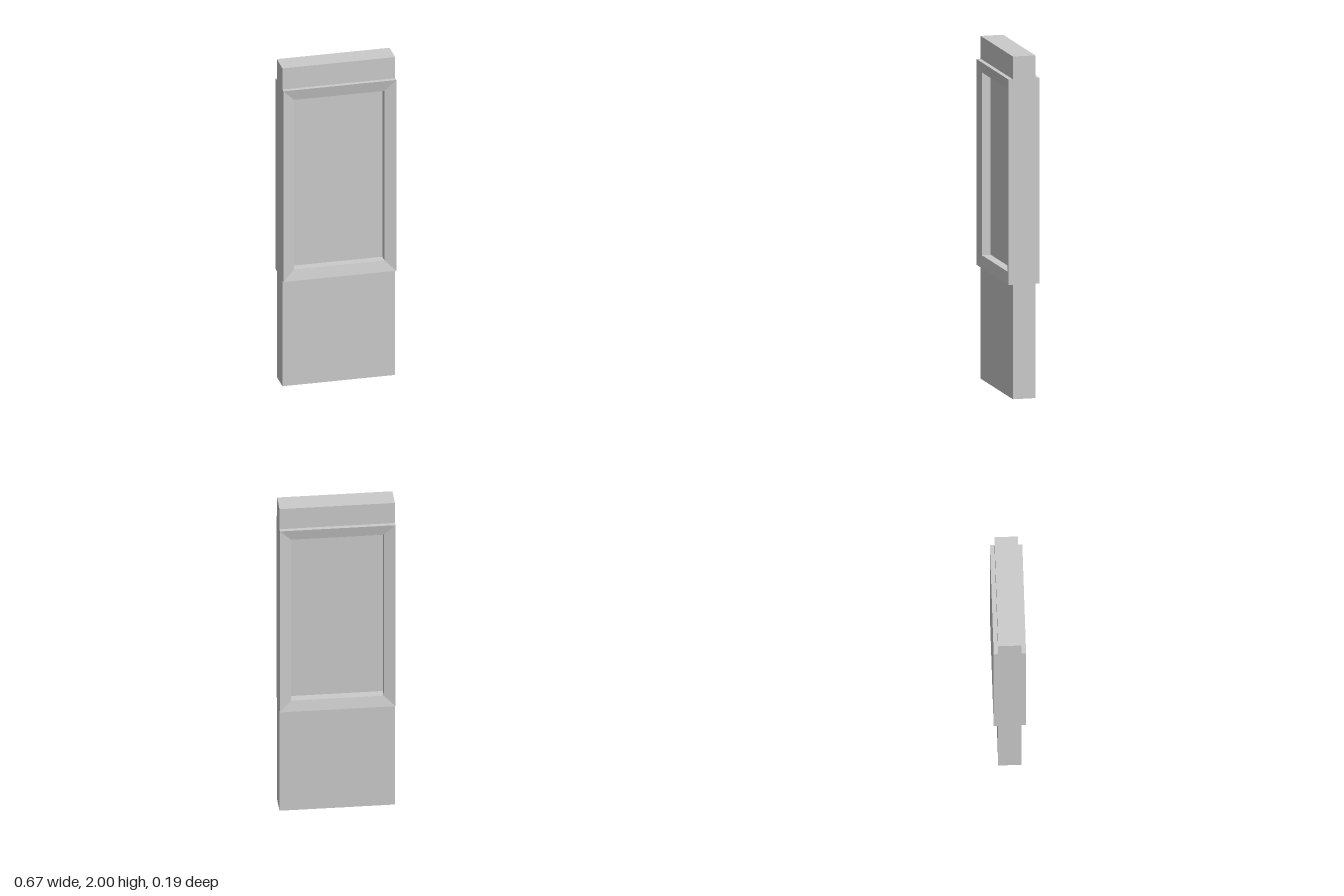
import * as THREE from 'three';

const HALF_W = 0.333, HALF_D = 0.067;
const OUTER = { x: HALF_W, y0: 0.667, y1: 1.867 };
const INNER = { x: 0.267, y0: 0.733, y1: 1.8 };
const PANEL_Z = 0.026;

const corners = ({ x, y0, y1 }) => [[-x, y0], [x, y0], [x, y1], [-x, y1]];

// Rectangular moulding: quads between successive rings of four mitred corners
function mouldingGeometry(rings) {
  const pos = [];
  for (let i = 0; i < rings.length - 1; i++) {
    for (let k = 0; k < 4; k++) {
      const point = (ring, n) => [...corners(ring.rect)[n % 4], ring.z];
      const a = point(rings[i], k), b = point(rings[i], k + 1);
      const c = point(rings[i + 1], k + 1), d = point(rings[i + 1], k);
      pos.push(...a, ...b, ...c, ...a, ...c, ...d);
    }
  }
  const geometry = new THREE.BufferGeometry();
  geometry.setAttribute('position', new THREE.Float32BufferAttribute(pos, 3));
  geometry.computeVertexNormals();
  return geometry;
}

export function createModel() {
  const group = new THREE.Group();
  const material = new THREE.MeshStandardMaterial({ color: 0xcccccc, flatShading: true });
  const add = (name, geometry) => {
    const mesh = new THREE.Mesh(geometry, material);
    mesh.name = name;
    group.add(mesh);
    return mesh;
  };

  // Slab with a window opening
  const toPoints = (rect) => corners(rect).map(([x, y]) => new THREE.Vector2(x, y));
  const slab = new THREE.Shape(toPoints({ x: HALF_W, y0: 0, y1: 2 }));
  slab.holes.push(new THREE.Path(toPoints(INNER).reverse()));
  add('slab', new THREE.ExtrudeGeometry(slab, { depth: 2 * HALF_D, bevelEnabled: false })
    .translate(0, 0, -HALF_D));

  // Recessed panel filling the opening
  const height = INNER.y1 - INNER.y0;
  add('recessedPanel', new THREE.BoxGeometry(2 * INNER.x, height, 2 * PANEL_Z))
    .position.y = INNER.y0 + height / 2;

  // Raised frame on both faces, sloping in towards the panel
  const frame = mouldingGeometry([
    { rect: OUTER, z: HALF_D },
    { rect: OUTER, z: 0.093 },
    { rect: INNER, z: 0.079 },
    { rect: INNER, z: PANEL_Z },
  ]);
  add('frontFrame', frame);
  add('backFrame', frame).rotation.y = Math.PI;

  return group;
}
